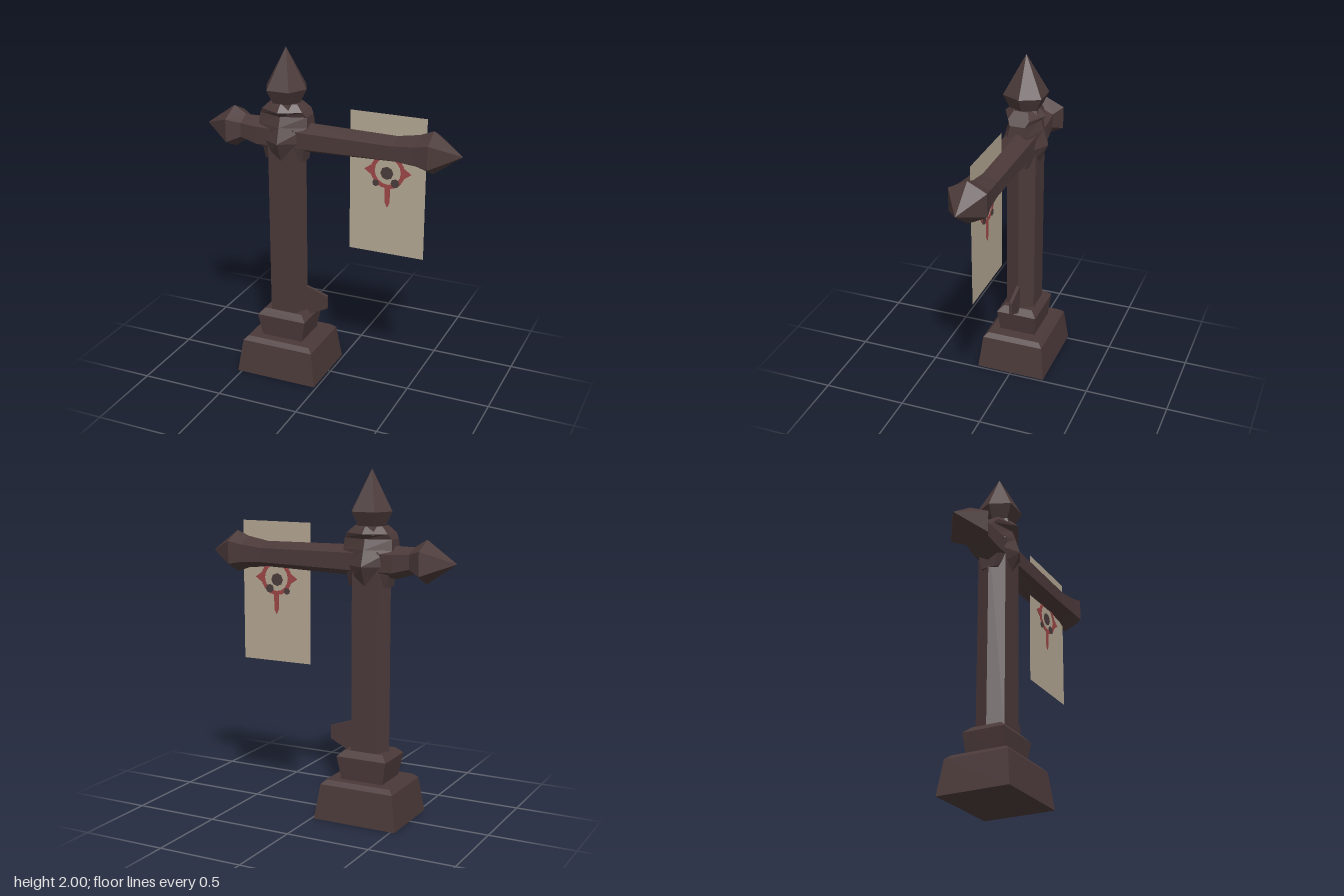
import * as THREE from 'three';

const POST_X = -0.27;

// Cross-sections as [u, v] loops of half-sizes a and b
const hex = (a, b, k = 0.66) => [[a, 0], [a * k, b], [-a * k, b], [-a, 0], [-a * k, -b], [a * k, -b]];
const rect = (a, b) => [[a, b], [-a, b], [-a, -b], [a, -b]];

// Flat-faced solid through rings of points, closed at both ends
function loft(rings) {
  const tris = [], n = rings[0].length;
  for (let i = 0; i < rings.length - 1; i++) {
    for (let j = 0; j < n; j++) {
      const k = (j + 1) % n;
      const [a, b, c, d] = [rings[i][j], rings[i][k], rings[i + 1][k], rings[i + 1][j]];
      tris.push([a, b, c], [a, c, d]);
    }
  }
  const last = rings[rings.length - 1];
  for (let j = 1; j < n - 1; j++) {
    tris.push([rings[0][0], rings[0][j + 1], rings[0][j]], [last[0], last[j], last[j + 1]]);
  }
  // Turn the faces outward
  const centre = new THREE.Vector3();
  rings.flat().forEach((p) => centre.add(p));
  centre.divideScalar(rings.length * n);
  let volume = 0;
  for (const t of tris) {
    const [a, b, c] = t.map((p) => p.clone().sub(centre));
    volume += a.dot(b.cross(c));
  }
  if (volume < 0) tris.forEach((t) => t.reverse());
  const geo = new THREE.BufferGeometry().setFromPoints(tris.flat());
  geo.computeVertexNormals();
  return geo;
}

// Levels are [y, halfX, halfZ]
const upright = (levels, section) => loft(levels.map(([y, a, b]) =>
  section(a, b).map(([u, v]) => new THREE.Vector3(POST_X + u, y, v))));

// Levels are [x, centreY, halfY, halfZ]
const sideways = (levels) => loft(levels.map(([x, y, a, b]) =>
  hex(a, b, 0.55).map(([u, v]) => new THREE.Vector3(x, y + u, v))));

function plate(points, depth) {
  const shape = new THREE.Shape(points.map(([x, y]) => new THREE.Vector2(x, y)));
  return new THREE.ExtrudeGeometry(shape, { depth, bevelEnabled: false }).translate(0, 0, -depth / 2);
}

export function createModel() {
  const wood = new THREE.MeshStandardMaterial({ color: 0x4b3939 });
  wood.name = 'darkWood';
  const cloth = new THREE.MeshStandardMaterial({ color: 0xb3a692, side: THREE.DoubleSide });
  cloth.name = 'tanCloth';
  const red = new THREE.MeshStandardMaterial({ color: 0x9c4646 });
  red.name = 'redPaint';
  const dark = new THREE.MeshStandardMaterial({ color: 0x4a3c3c });
  dark.name = 'darkPaint';

  const model = new THREE.Group();
  model.name = 'signpost';
  const add = (name, geometry, material, parent = model) => {
    const mesh = new THREE.Mesh(geometry, material);
    mesh.name = name;
    parent.add(mesh);
    return mesh;
  };

  // Foot and collar
  add('base', upright([[0, 0.255, 0.215], [0.205, 0.225, 0.19], [0.23, 0.2, 0.165]], rect), wood);
  add('collar', upright([[0.225, 0.128, 0.112], [0.365, 0.155, 0.125], [0.4, 0.12, 0.09]], rect), wood);

  // Six-sided post
  add('post', upright([[0.36, 0.12, 0.088], [1.55, 0.12, 0.088]], hex), wood);

  // Small wedge at the foot of the post
  add('wedge', plate([[-0.17, 0.36], [-0.13, 0.375], [-0.02, 0.43], [-0.02, 0.51], [-0.17, 0.56]], 0.02), wood);

  // Faceted knot where post and beam cross, with its ridge to front and back
  const ridged = (a, b) => [[0, b], [a, b * 0.5], [a, -b * 0.5], [0, -b], [-a, -b * 0.5], [-a, b * 0.5]];
  add('knot', upright([
    [1.35, 0.118, 0.085], [1.47, 0.13, 0.138], [1.56, 0.15, 0.11],
    [1.62, 0.145, 0.09], [1.65, 0.125, 0.125], [1.69, 0.085, 0.085],
  ], ridged), wood);

  // Pointed top
  add('finial', upright([
    [1.64, 0.1, 0.095], [1.69, 0.085, 0.08], [1.77, 0.125, 0.115], [2, 0.001, 0.001],
  ], (a, b) => hex(a, b, 0.55)), wood);

  // Long arm and short arm, both with spear-shaped ends
  add('longArm', sideways([
    [-0.27, 1.49, 0.09, 0.085], [0.4, 1.495, 0.075, 0.085],
    [0.53, 1.5, 0.093, 0.095], [0.61, 1.502, 0.123, 0.108], [0.775, 1.5, 0.001, 0.001],
  ]), wood);
  add('shortArm', sideways([
    [-0.27, 1.49, 0.09, 0.09], [-0.43, 1.49, 0.092, 0.085], [-0.53, 1.505, 0.075, 0.075],
    [-0.605, 1.502, 0.123, 0.118], [-0.78, 1.5, 0.001, 0.001],
  ]), wood);

  // Hanging cloth
  const banner = new THREE.Group();
  banner.name = 'banner';
  model.add(banner);
  add('cloth', new THREE.PlaneGeometry(0.45, 0.83).translate(0.345, 1.272, 0), cloth, banner);

  // Painted ring ornament, showing on both faces
  const ornament = new THREE.Group();
  ornament.name = 'ornament';
  ornament.position.set(0.347, 1.355, 0);
  banner.add(ornament);
  const ring = new THREE.Shape().absarc(0, 0, 0.102, 0, Math.PI * 2);
  ring.holes.push(new THREE.Path().absarc(0, 0, 0.078, 0, Math.PI * 2, true));
  add('ring', new THREE.ExtrudeGeometry(ring, { depth: 0.006, bevelEnabled: false, curveSegments: 8 })
    .translate(0, 0, -0.003), red, ornament);
  for (const angle of [0, 1, 2]) {
    add('ringPoint', plate([[0.09, -0.035], [0.14, 0], [0.09, 0.035]], 0.006), red, ornament)
      .rotation.z = angle * Math.PI / 2;
  }
  add('stem', plate([[-0.015, -0.09], [-0.015, -0.185], [0, -0.215], [0.015, -0.185], [0.015, -0.09]], 0.006), red, ornament);
  for (const [x, y, r] of [[-0.005, -0.01, 0.038], [-0.07, -0.075, 0.02], [0.045, -0.065, 0.026]]) {
    add('darkSpot', new THREE.CylinderGeometry(r, r, 0.008, 8).rotateX(Math.PI / 2).translate(x, y, 0), dark, ornament);
  }

  return model;
}
